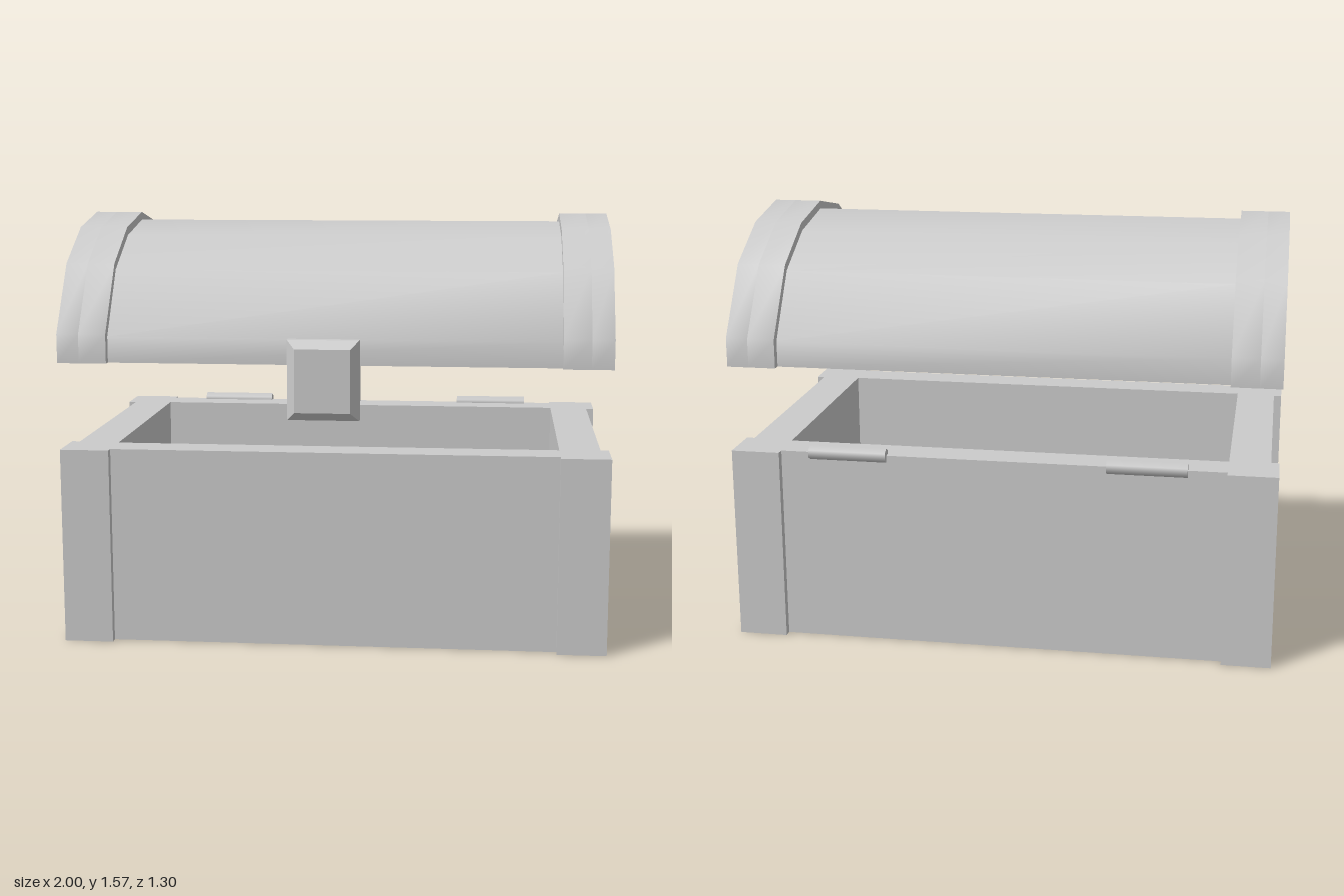
import * as THREE from 'three';
import { toCreasedNormals } from 'three/addons/utils/BufferGeometryUtils.js';

const CZ = -0.015; // front-to-back centre of box and lid
const material = new THREE.MeshStandardMaterial({ color: 0xcccccc });

function add(parent, name, geometry) {
  const mesh = new THREE.Mesh(geometry, material);
  mesh.name = name;
  parent.add(mesh);
  return mesh;
}

// Half profiles as [half depth, height], from the bottom edge to the crown
const capHalf = [[0.635, 1.045], [0.635, 1.15], [0.47, 1.395], [0.255, 1.517], [0, 1.565]];
const barrelHalf = [[0.605, 1.045], [0.605, 1.14], [0.452, 1.372], [0.245, 1.487], [0, 1.535]];
const innerHalf = (bottom) => [[0.475, bottom], [0.475, 1.16], [0.4, 1.3], [0.213, 1.395], [0, 1.43]];

function mirrored(half) {
  const left = half.slice(0, -1).reverse().map(([h, y]) => [-h, y]);
  return [...half, ...left].map(([h, y]) => new THREE.Vector2(h, y));
}

// Extrudes a depth/height shape along x between two positions
function alongX(shape, x0, x1) {
  const geo = new THREE.ExtrudeGeometry(shape, { depth: x1 - x0, bevelEnabled: false });
  geo.rotateY(Math.PI / 2).translate(x0, 0, CZ);
  return toCreasedNormals(geo, 0.7);
}

function createBase() {
  const base = new THREE.Group();
  base.name = 'base';
  // Plan outline: corner posts stand proud of the walls
  const quarter = [[1, 0.465], [1, 0.635], [0.82, 0.635], [0.82, 0.605]];
  const q = [[0.97, 0.465], ...quarter];
  const flip = (pts, sx, sy) => pts.map(([x, y]) => [x * sx, y * sy]);
  const outline = [
    ...q, ...flip(q, -1, 1).reverse(), ...flip(q, -1, -1), ...flip(q, 1, -1).reverse(),
  ].map(([x, y]) => new THREE.Vector2(x, y));
  const plan = new THREE.Shape(outline);
  plan.holes.push(new THREE.Path([[-0.82, -0.475], [-0.82, 0.475], [0.82, 0.475], [0.82, -0.475]]
    .map(([x, y]) => new THREE.Vector2(x, y))));
  const walls = new THREE.ExtrudeGeometry(plan, { depth: 0.725, bevelEnabled: false });
  walls.rotateX(-Math.PI / 2).translate(0, 0, CZ);
  add(base, 'wallsAndCornerPosts', walls);
  add(base, 'floor', new THREE.BoxGeometry(1.64, 0.15, 0.95).translate(0, 0.075, CZ));

  // Hinge pins along the back rim
  for (const x of [-0.535, 0.565]) {
    const pin = new THREE.CylinderGeometry(0.027, 0.027, 0.29, 6);
    pin.rotateY(Math.PI / 2).rotateZ(Math.PI / 2);
    add(base, 'hingePin', pin).position.set(x, 0.724, -0.618);
  }
  return base;
}

function createLid() {
  const lid = new THREE.Group();
  lid.name = 'lid';
  // Hollow barrel: outer arch down one side, inner arch back
  const arch = new THREE.Shape([...mirrored(barrelHalf), ...mirrored(innerHalf(1.045)).reverse()]);
  add(lid, 'barrel', alongX(arch, -0.82, 0.82));

  // End caps with a recessed panel
  const solid = new THREE.Shape(mirrored(capHalf));
  const frame = new THREE.Shape(mirrored(capHalf));
  frame.holes.push(new THREE.Path(mirrored(innerHalf(1.12))));
  for (const side of [-1, 1]) {
    const cap = new THREE.Group();
    cap.name = side > 0 ? 'leftEndCap' : 'rightEndCap';
    const span = (a, b) => (side > 0 ? [a, b] : [-b, -a]);
    add(cap, 'endPanel', alongX(solid, ...span(0.82, 0.92)));
    add(cap, 'endFrame', alongX(frame, ...span(0.92, 1)));
    lid.add(cap);
  }

  // Latch plate: a box with its front edges drawn in
  let plate = new THREE.BoxGeometry(0.26, 0.29, 0.075, 1, 1, 2);
  const pos = plate.attributes.position;
  for (let i = 0; i < pos.count; i++) {
    const z = pos.getZ(i);
    if (z > 0.03) {
      pos.setX(i, pos.getX(i) * 0.77);
      pos.setY(i, pos.getY(i) * 0.79);
    } else if (z > -0.01) {
      pos.setZ(i, 0.007);
    }
  }
  plate = plate.toNonIndexed();
  plate.computeVertexNormals();
  add(lid, 'latch', plate).position.set(-0.03, 0.995, 0.617);
  return lid;
}

export function createModel() {
  const chest = new THREE.Group();
  chest.name = 'chest';
  chest.add(createBase(), createLid());
  return chest;
}
